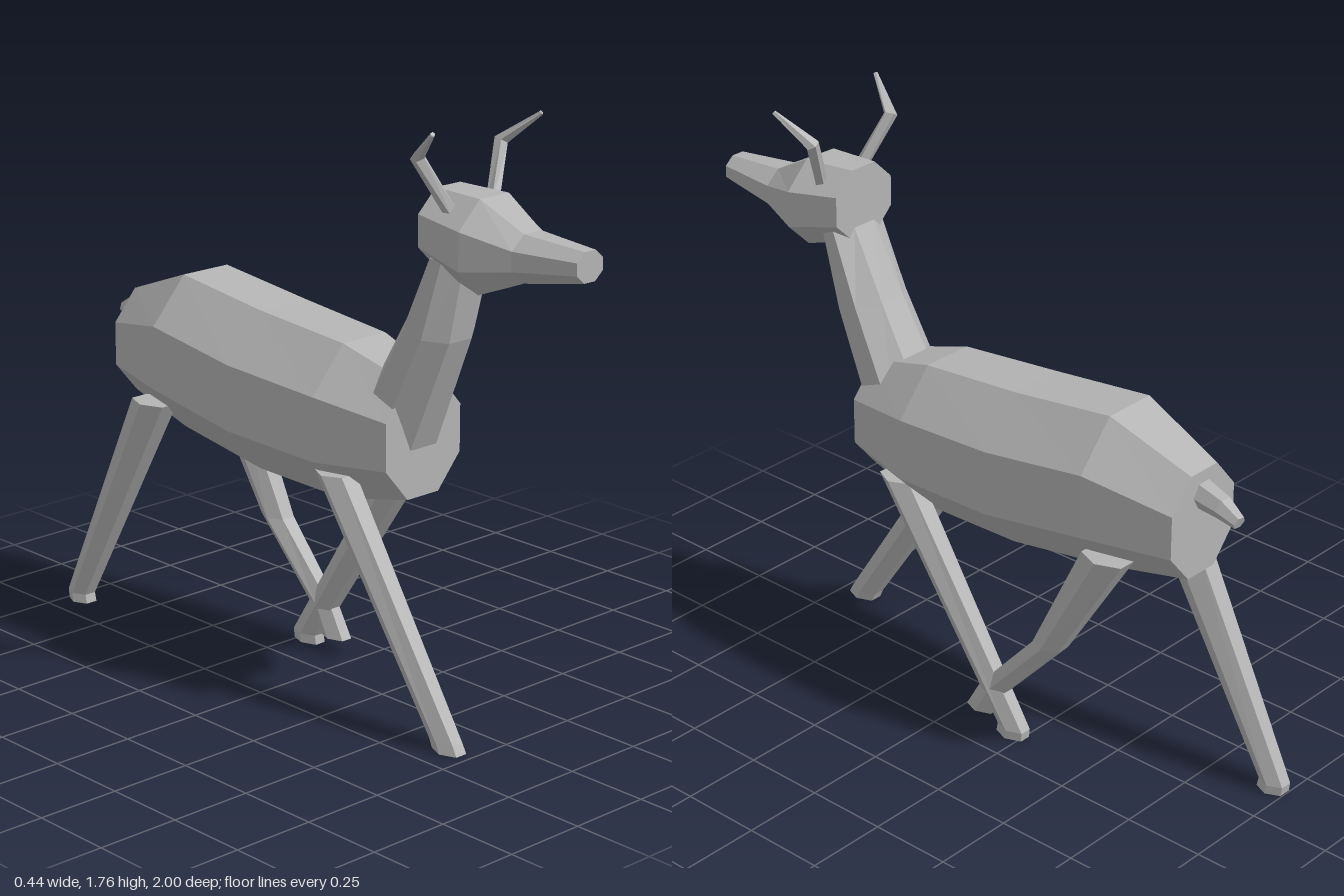
import * as THREE from 'three';

const coat = new THREE.MeshStandardMaterial({ color: 0xb4b4b4 });
coat.name = 'greyCoat';

const V = (x, y, z) => new THREE.Vector3(x, y, z);

// Points around centre c, spanned by u and v (u x v points along the loft)
function ring(c, u, v, sides, offset = 0) {
  const pts = [];
  for (let i = 0; i < sides; i++) {
    const a = ((i + offset) / sides) * Math.PI * 2;
    pts.push(c.clone().addScaledVector(u, Math.cos(a)).addScaledVector(v, Math.sin(a)));
  }
  return pts;
}

// Faceted, capped skin over a list of rings
function loft(name, rings) {
  const pos = [];
  const tri = (...p) => p.forEach((q) => pos.push(q.x, q.y, q.z));
  const n = rings[0].length;
  for (let r = 0; r < rings.length - 1; r++) {
    for (let i = 0; i < n; i++) {
      const j = (i + 1) % n, a = rings[r], b = rings[r + 1];
      tri(a[i], a[j], b[j]);
      tri(a[i], b[j], b[i]);
    }
  }
  const first = rings[0], last = rings[rings.length - 1];
  for (let i = 1; i < n - 1; i++) {
    tri(first[0], first[i + 1], first[i]);
    tri(last[0], last[i], last[i + 1]);
  }
  const g = new THREE.BufferGeometry();
  g.setAttribute('position', new THREE.Float32BufferAttribute(pos, 3));
  g.computeVertexNormals();
  const mesh = new THREE.Mesh(g, coat);
  mesh.name = name;
  return mesh;
}

// Flat-topped octagons along z: [z, centre x, bottom y, top y, half width]
const OCT = 1 / Math.cos(Math.PI / 8);
function barrel(name, sections) {
  return loft(name, sections.map(([z, x, y0, y1, w]) =>
    ring(V(x, (y0 + y1) / 2, z), V(w * OCT, 0, 0), V(0, (y1 - y0) / 2 * OCT, 0), 8, 0.5)));
}

// Six-sided leg from the hoof up: [y, centre z, half depth, half width]
function leg(name, x, sections) {
  return loft(name, sections.map(([y, z, d, w]) =>
    ring(V(x, y, z), V(0, 0, d / Math.cos(Math.PI / 6)), V(w, 0, 0), 6, 0.5)));
}

// Tapered limb along a path: [x, y, z, radius]
function taper(name, path, sides) {
  const p = path.map(([x, y, z]) => V(x, y, z));
  return loft(name, path.map((s, i) => {
    const t = p[Math.min(i + 1, p.length - 1)].clone().sub(p[Math.max(i - 1, 0)]).normalize();
    const u = V(1, 0, 0).addScaledVector(t, -t.x).normalize();
    const v = t.clone().cross(u);
    return ring(p[i], u.multiplyScalar(s[3]), v.multiplyScalar(s[3]), sides);
  }));
}

export function createModel() {
  const model = new THREE.Group();
  model.name = 'deer';

  // Body, rump to chest
  model.add(barrel('body', [
    [-0.78, 0, 0.71, 1.03, 0.135],
    [-0.51, -0.005, 0.66, 1.13, 0.205],
    [-0.17, -0.003, 0.61, 1.09, 0.216],
    [0.17, 0, 0.60, 1.06, 0.2],
    [0.41, 0, 0.65, 0.99, 0.145],
  ]));

  // Neck: front and back points of each section as [z, y], half width
  model.add(loft('neck', [
    [[0.38, 0.72], [0.2, 0.85], 0.125],
    [[0.55, 1.13], [0.385, 1.17], 0.105],
    [[0.6, 1.37], [0.495, 1.38], 0.098],
  ].map(([[fz, fy], [bz, by], w]) => ring(
    V(0, (fy + by) / 2, (fz + bz) / 2),
    V(0, (fy - by) / 2, (fz - bz) / 2).multiplyScalar(OCT),
    V(w * OCT, 0, 0), 8, 0.5))));

  // Head, nape to muzzle
  model.add(barrel('head', [
    [0.495, 0, 1.34, 1.56, 0.113],
    [0.66, 0.01, 1.29, 1.555, 0.135],
    [0.8, 0.013, 1.345, 1.48, 0.08],
    [1.0, 0.02, 1.38, 1.465, 0.05],
  ]));

  // Antlers, bent forward at the elbow
  for (const [name, s] of [['leftAntler', 1], ['rightAntler', -1]]) {
    model.add(taper(name, [
      [0.005 + s * 0.07, 1.49, 0.588, 0.02],
      [0.005 + s * 0.16, 1.665, 0.533, 0.021],
      [0.005 + s * 0.207, 1.75, 0.637, 0.007],
    ], 5));
  }

  // Tail, curling to the left
  model.add(taper('tail', [
    [-0.005, 0.96, -0.74, 0.046],
    [0.012, 0.946, -0.86, 0.034],
    [0.02, 0.925, -0.92, 0.021],
  ], 6));

  // Legs in mid stride
  model.add(leg('leftFrontLeg', 0.14, [
    [0, -0.213, 0.048, 0.036],
    [0.028, -0.217, 0.047, 0.036],
    [0.705, 0.228, 0.058, 0.055],
  ]));
  model.add(leg('rightFrontLeg', -0.148, [
    [0, 0.672, 0.048, 0.039],
    [0.028, 0.658, 0.047, 0.038],
    [0.705, 0.208, 0.056, 0.055],
  ]));
  model.add(leg('leftHindLeg', 0.14, [
    [0.045, -0.095, 0.047, 0.036],
    [0.135, -0.145, 0.046, 0.034],
    [0.365, -0.355, 0.048, 0.045],
    [0.735, -0.562, 0.072, 0.058],
  ]));
  model.add(leg('rightHindLeg', -0.148, [
    [0, -0.953, 0.043, 0.039],
    [0.028, -0.958, 0.042, 0.038],
    [0.735, -0.585, 0.07, 0.057],
  ]));

  return model;
}
